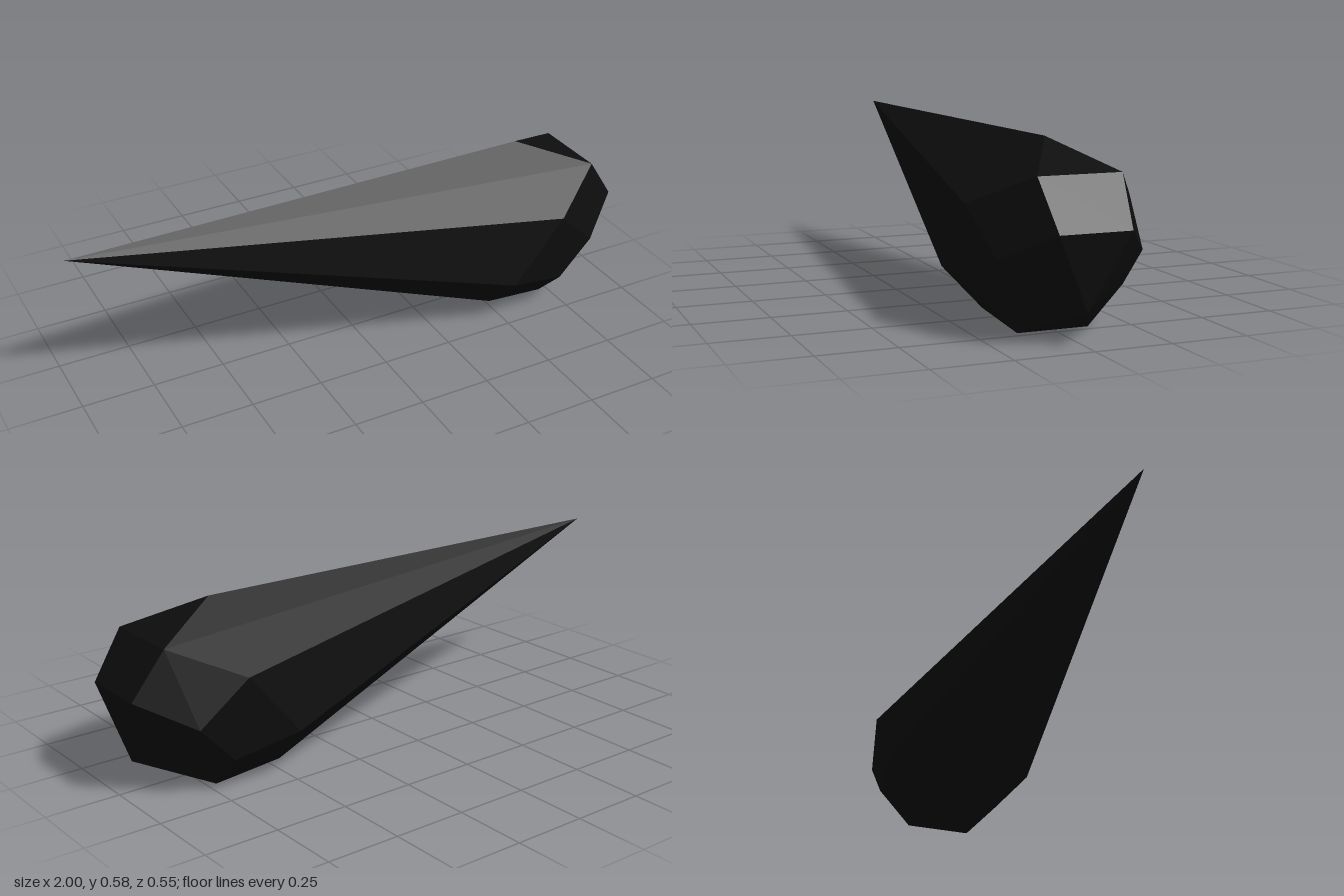
import * as THREE from 'three';
import { ConvexGeometry } from 'three/addons/geometries/ConvexGeometry.js';

export function createModel() {
  const group = new THREE.Group();
  group.name = 'facetedSpike';

  const black = new THREE.MeshStandardMaterial({ color: 0x0d0d0d, flatShading: true });
  black.name = 'nearBlack';

  // Corners on the centre plane: tip, top and lower end
  const points = [[-1, 0.567, 0], [0.65, 0.58, 0], [0.95, 0.1, 0]]
    .map((p) => new THREE.Vector3(...p));

  // Corners of the blunt end, mirrored in z
  const sideCorners = [
    [0.893, 0.493, 0.135], // upper end
    [1, 0.34, 0.115], // foremost edge
    [0.685, 0.395, 0.272], // upper flank
    [0.84, 0.25, 0.235], // end flank
    [0.5, 0.175, 0.274], // rear flank
    [0.72, 0.122, 0.235], // lower flank
    [0.72, 0, 0.117], // underside
    [0.49, 0.03, 0.135], // rear underside
  ];
  for (const [x, y, z] of sideCorners)
    for (const side of [1, -1]) points.push(new THREE.Vector3(x, y, side * z));

  // Faceted shard tapering to the tip
  const shard = new THREE.Mesh(new ConvexGeometry(points), black);
  shard.name = 'shard';
  group.add(shard);
  return group;
}
